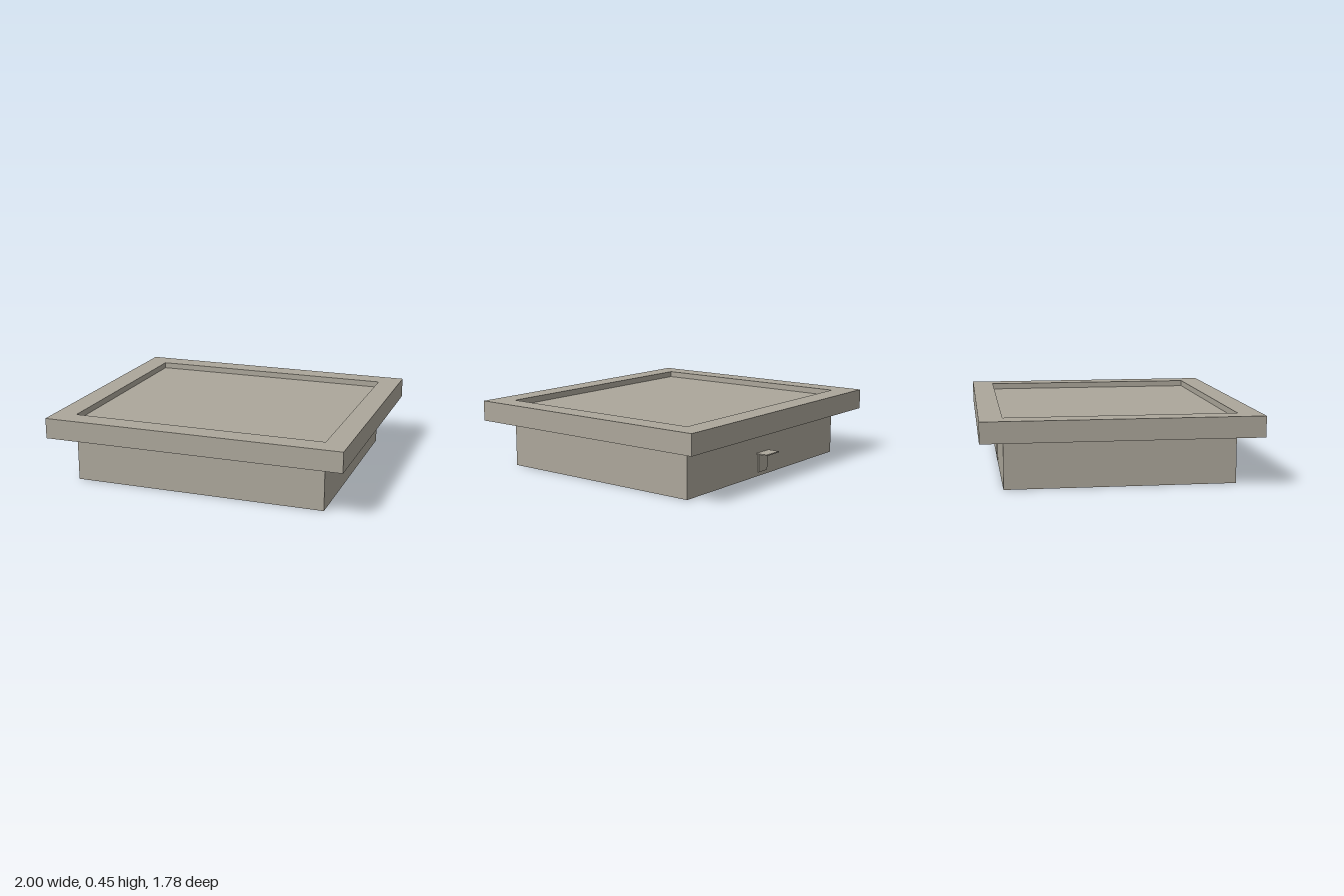
import * as THREE from 'three';

export function createModel() {
  const model = new THREE.Group();
  const stone = new THREE.MeshStandardMaterial({ color: 0xaca79b, side: THREE.DoubleSide });
  stone.name = 'warm grey';

  const OUTER_W = 1.987, OUTER_D = 1.764;   // rim
  const INNER_W = 1.69, INNER_D = 1.47;     // sleeve and opening
  const RIM_BOTTOM = 0.315, TOP = 0.45, PANEL_Y = 0.41;

  const add = (name, geometry, x, y, z) => {
    const mesh = new THREE.Mesh(geometry, stone);
    mesh.name = name;
    mesh.position.set(x, y, z);
    model.add(mesh);
    return mesh;
  };
  const rectangle = (path, w, d) => path
    .moveTo(-w / 2, -d / 2).lineTo(w / 2, -d / 2)
    .lineTo(w / 2, d / 2).lineTo(-w / 2, d / 2).closePath();

  // Wide rim with a rectangular opening
  const frame = new THREE.Shape();
  rectangle(frame, OUTER_W, OUTER_D);
  const opening = new THREE.Path();
  rectangle(opening, INNER_W, INNER_D);
  frame.holes.push(opening);
  const rim = new THREE.ExtrudeGeometry(frame, { depth: TOP - RIM_BOTTOM, bevelEnabled: false });
  rim.rotateX(-Math.PI / 2);
  add('rim', rim, 0, RIM_BOTTOM, 0);

  // Panel sunk a little into the opening
  const panel = new THREE.PlaneGeometry(INNER_W, INNER_D).rotateX(-Math.PI / 2);
  add('recessedPanel', panel, 0, PANEL_Y, 0);

  // Thin sleeve below the rim, open underneath
  for (const side of [1, -1]) {
    const long = new THREE.PlaneGeometry(INNER_W, RIM_BOTTOM);
    const short = new THREE.PlaneGeometry(INNER_D, RIM_BOTTOM);
    long.rotateY(side > 0 ? 0 : Math.PI);
    short.rotateY(side * Math.PI / 2);
    add(side > 0 ? 'frontWall' : 'backWall', long, 0, RIM_BOTTOM / 2, side * INNER_D / 2);
    add(side > 0 ? 'leftWall' : 'rightWall', short, side * INNER_W / 2, RIM_BOTTOM / 2, 0);
  }

  // Small bracket on the back: a flat plate and a projecting tab
  add('bracketPlate', new THREE.BoxGeometry(0.1, 0.125, 0.006), 0.035, 0.0875, -INNER_D / 2 - 0.003);
  add('bracketTab', new THREE.BoxGeometry(0.145, 0.008, 0.08), 0.035, 0.152, -INNER_D / 2 - 0.04);

  // The whole piece sits very slightly turned
  model.rotation.y = -0.0075;
  return model;
}
